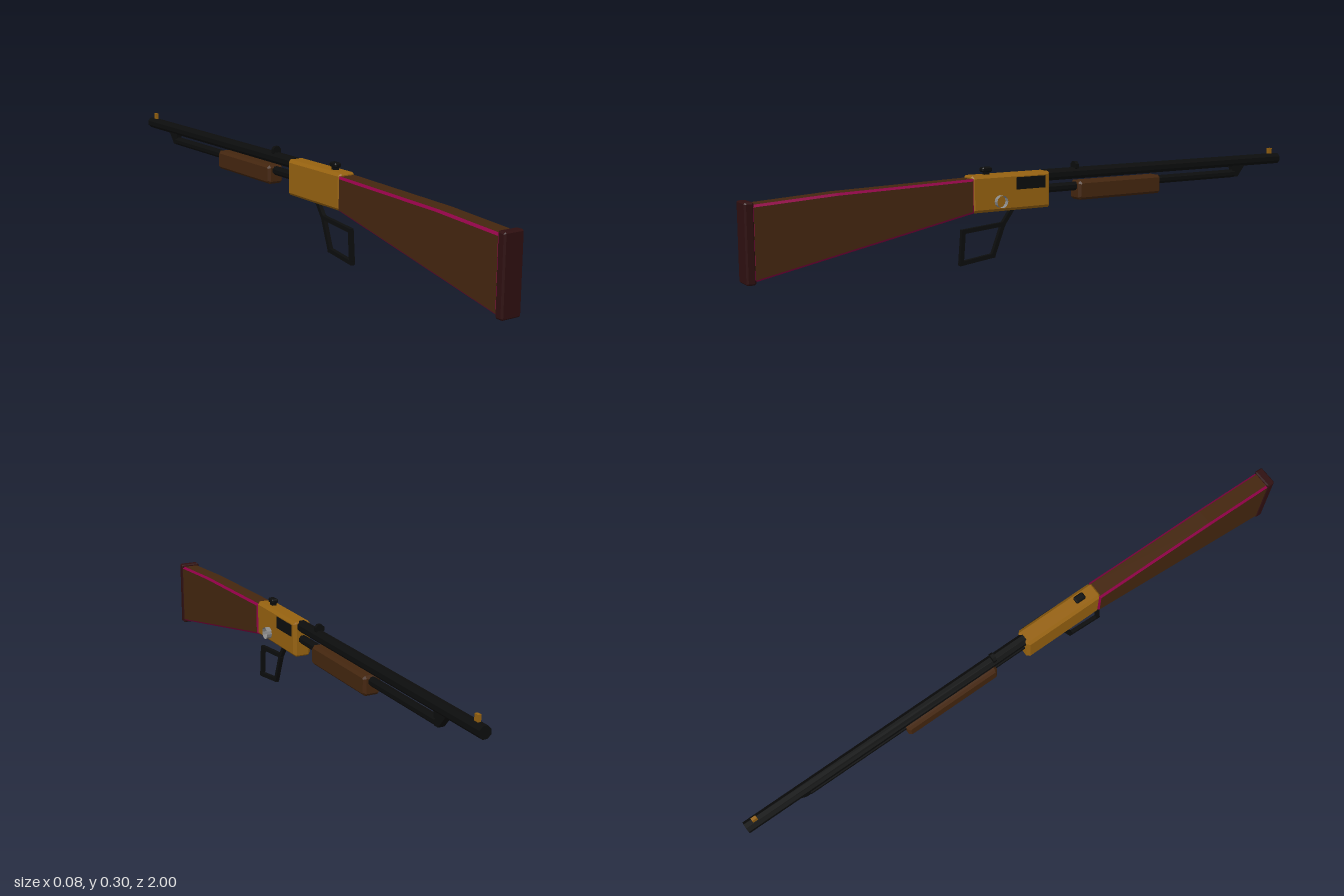
import * as THREE from 'three';

const mat = (name, color) => {
  const m = new THREE.MeshStandardMaterial({ color, flatShading: true });
  m.name = name;
  return m;
};

export function createModel() {
  const group = new THREE.Group();
  const CX = -0.007; // the side screw shifts the body off centre
  const wood = mat('walnut', 0x44260f);
  const trim = mat('magenta trim', 0x8c0045);
  const brass = mat('brass', 0x966210);
  const steel = mat('black steel', 0x0c0d0d);
  const pad = mat('dark maroon', 0x2e0f10);
  const silver = mat('silver', 0x8a8a8a);
  silver.side = THREE.DoubleSide;

  const add = (name, geo, material, x, y, z) => {
    const mesh = new THREE.Mesh(geo, material);
    mesh.name = name;
    mesh.position.set(x, y, z);
    group.add(mesh);
    return mesh;
  };

  // Side profile of [z, y] points, extruded across x with chamfered edges
  const prism = (points, half, bevel) => {
    const shape = new THREE.Shape(points.map(([z, y]) => new THREE.Vector2(-z, y)));
    const geo = new THREE.ExtrudeGeometry(shape, {
      depth: 2 * (half - bevel), bevelEnabled: bevel > 0, bevelSegments: 1,
      bevelSize: bevel, bevelThickness: bevel, bevelOffset: -bevel,
    });
    return geo.translate(0, 0, bevel - half).rotateY(Math.PI / 2);
  };

  // Rectangle in z and y with cut corners
  const cutRect = (z0, z1, y0, y1, c) => [
    [z0 + c, y0], [z1 - c, y0], [z1, y0 + c], [z1, y1 - c],
    [z1 - c, y1], [z0 + c, y1], [z0, y1 - c], [z0, y0 + c],
  ];

  // Stock, its chamfers in the trim colour
  const stock = prism([
    [0.28, 0.166], [0.98, 0.028], [0.98, 0.245], [0.73, 0.26], [0.28, 0.272],
  ], 0.032, 0.007);
  stock.clearGroups();
  const normal = stock.attributes.normal;
  for (let i = 0; i < normal.count; i += 3) {
    const n = Math.abs(normal.getX(i));
    stock.addGroup(i, 3, n > 0.2 && n < 0.95 ? 1 : 0);
  }
  add('stock', stock, [wood, trim], CX, 0, 0);
  add('buttPad', prism(cutRect(0.972, 1, 0.022, 0.253, 0.004), 0.034, 0.005), pad, CX, 0, 0);

  // Receiver with loading port and open screw ring
  add('receiver', prism(cutRect(0.003, 0.287, 0.165, 0.28, 0.005), 0.03, 0.009), brass, CX, 0, 0);
  add('loadingPort', new THREE.BoxGeometry(0.004, 0.038, 0.106), steel, 0.0235, 0.249, 0.077);
  const ring = new THREE.CylinderGeometry(0.0195, 0.0195, 0.017, 12, 1, true).rotateZ(Math.PI / 2);
  add('screwRing', ring, silver, 0.0315, 0.197, 0.19);

  // Barrel, magazine tube and its end bracket
  const rod = (r, length) => new THREE.CylinderGeometry(r, r, length, 8)
    .rotateY(Math.PI / 8).rotateX(Math.PI / 2);
  add('barrel', rod(0.0195, 1.01), steel, CX, 0.265, -0.495);
  add('magazineTube', rod(0.0145, 0.8), steel, CX, 0.222, -0.39);
  add('tubeBracket', prism([
    [-0.78, 0.252], [-0.84, 0.252], [-0.805, 0.21], [-0.785, 0.21],
  ], 0.01, 0), steel, CX, 0, 0);

  // Wooden fore-end
  add('foreEnd', prism(cutRect(-0.445, -0.11, 0.178, 0.24, 0.008), 0.028, 0.008), wood, CX, 0, 0);

  // Sights and hammer
  add('frontSight', new THREE.BoxGeometry(0.01, 0.028, 0.016), brass, CX, 0.289, -0.965);
  const rear = new THREE.CylinderGeometry(0.016, 0.016, 0.012, 8)
    .rotateY(Math.PI / 8).rotateX(Math.PI / 2);
  add('rearSight', rear, steel, CX, 0.288, -0.11);
  add('hammerStem', new THREE.BoxGeometry(0.014, 0.014, 0.018), steel, CX, 0.283, 0.222);
  add('hammer', prism(cutRect(0.205, 0.24, 0.288, 0.303, 0.004), 0.011, 0.003), steel, CX, 0, 0);

  // Lever: a link bar down to a four-sided loop
  const lever = new THREE.Group();
  lever.name = 'lever';
  group.add(lever);
  const path = [[0.128, 0.168], [0.163, 0.12], [0.305, 0.108], [0.313, 0.0095], [0.2, 0.024], [0.163, 0.12]];
  for (let i = 0; i < path.length - 1; i++) {
    const a = new THREE.Vector3(CX, path[i][1], path[i][0]);
    const b = new THREE.Vector3(CX, path[i + 1][1], path[i + 1][0]);
    const bar = new THREE.Mesh(
      new THREE.BoxGeometry(0.013, 0.013, a.distanceTo(b) + 0.011), steel);
    bar.name = 'leverBar';
    bar.position.copy(a).lerp(b, 0.5);
    bar.lookAt(b);
    lever.add(bar);
  }

  return group;
}
